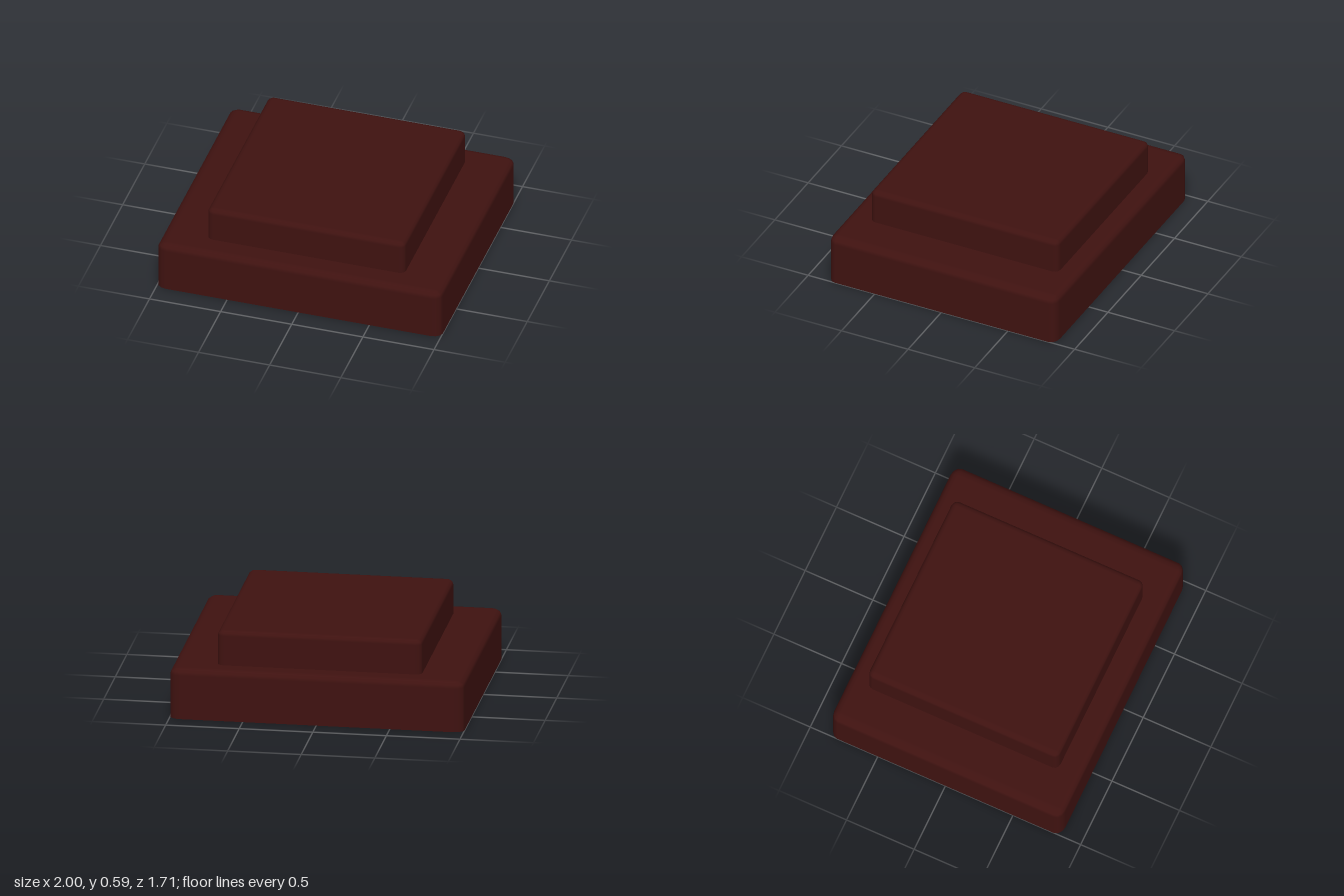
import * as THREE from 'three';

const SEGMENTS = 3; // steps in each rounded edge

// Open-bottomed box with rounded vertical and top edges.
// hx, hz: half sizes; rx, ry, rz: edge radii along each axis.
function roundedShell({ hx, hz, bottom, top, rx, ry, rz }) {
  const positions = [], normals = [], indices = [];
  const count = 4 * (SEGMENTS + 1);

  const addRing = (t, y) => {
    for (let corner = 0; corner < 4; corner++) {
      const sx = corner === 0 || corner === 3 ? 1 : -1;
      const sz = corner < 2 ? 1 : -1;
      for (let i = 0; i <= SEGMENTS; i++) {
        const a = (corner + i / SEGMENTS) * Math.PI / 2;
        const nx = Math.cos(t) * Math.cos(a), nz = Math.cos(t) * Math.sin(a);
        positions.push(sx * (hx - rx) + rx * nx, y, sz * (hz - rz) + rz * nz);
        const n = new THREE.Vector3(nx / rx, Math.sin(t) / ry, nz / rz).normalize();
        normals.push(n.x, n.y, n.z);
      }
    }
  };

  // straight wall, then the curve up to the flat top
  addRing(0, bottom);
  for (let j = 0; j <= SEGMENTS; j++) {
    const t = j / SEGMENTS * Math.PI / 2;
    addRing(t, top - ry * (1 - Math.sin(t)));
  }
  const rings = SEGMENTS + 2;
  for (let r = 0; r < rings - 1; r++) {
    for (let i = 0; i < count; i++) {
      const p = r * count + i, p2 = r * count + (i + 1) % count;
      indices.push(p, p + count, p2, p + count, p2 + count, p2);
    }
  }

  // flat top
  const centre = positions.length / 3;
  positions.push(0, top, 0);
  normals.push(0, 1, 0);
  const last = (rings - 1) * count;
  for (let i = 0; i < count; i++) indices.push(centre, last + (i + 1) % count, last + i);

  const geometry = new THREE.BufferGeometry();
  geometry.setAttribute('position', new THREE.Float32BufferAttribute(positions, 3));
  geometry.setAttribute('normal', new THREE.Float32BufferAttribute(normals, 3));
  geometry.setIndex(indices);
  return geometry;
}

export function createModel() {
  const group = new THREE.Group();
  group.name = 'steppedBlock';
  const material = new THREE.MeshStandardMaterial({ color: 0x3f1210, side: THREE.DoubleSide });

  // wide lower shell, open underneath
  const base = new THREE.Mesh(
    roundedShell({ hx: 1, hz: 0.855, bottom: 0, top: 0.35, rx: 0.07, ry: 0.045, rz: 0.055 }), material);
  base.name = 'base';

  // narrower upper shell, its walls reaching down inside the base
  const upper = new THREE.Mesh(
    roundedShell({ hx: 0.695, hz: 0.705, bottom: 0.2, top: 0.59, rx: 0.045, ry: 0.035, rz: 0.04 }), material);
  upper.name = 'upperBlock';
  upper.position.z = -0.015;

  group.add(base, upper);
  return group;
}
